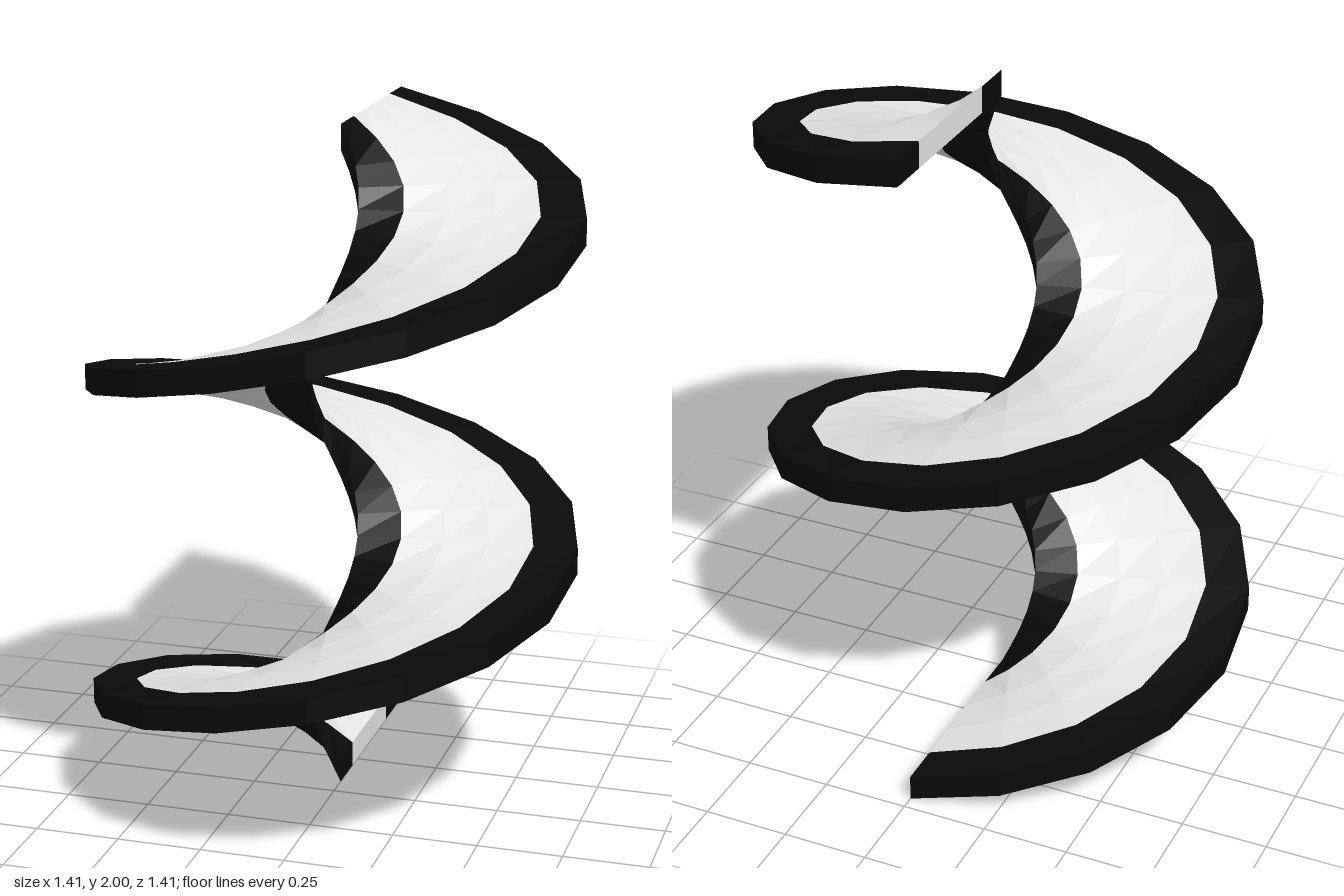
import * as THREE from 'three';

const TURNS = 2;
const SIDES = 17; // facets per turn
const THICKNESS = 0.076;
const RISE = 2 - THICKNESS;

// Point on the helix: starts at the back and climbs by way of -x, front, +x
function helixPoint(r, y, step) {
  const a = (step / SIDES) * Math.PI * 2;
  return [-r * Math.sin(a), y + (RISE * step) / (SIDES * TURNS), -r * Math.cos(a)];
}

// Sweep a flat band between two radii; walls are added only where exposed
function helicalBand(name, r0, r1, divisions, innerWall, outerWall, material) {
  const edges = [];
  for (let i = 0; i < divisions; i++) {
    const a = r0 + ((r1 - r0) * i) / divisions;
    const b = r0 + ((r1 - r0) * (i + 1)) / divisions;
    edges.push([[a, THICKNESS], [b, THICKNESS]], [[b, 0], [a, 0]]);
  }
  if (outerWall) edges.push([[r1, THICKNESS], [r1, 0]]);
  if (innerWall) edges.push([[r0, 0], [r0, THICKNESS]]);

  const positions = [];
  const quad = (a, b, c, d) => positions.push(...a, ...b, ...c, ...a, ...c, ...d);
  const steps = SIDES * TURNS;
  for (let s = 0; s < steps; s++) {
    for (const [p, q] of edges) {
      quad(helixPoint(...p, s), helixPoint(...q, s), helixPoint(...q, s + 1), helixPoint(...p, s + 1));
    }
  }

  // End caps
  const corners = [[r0, THICKNESS], [r1, THICKNESS], [r1, 0], [r0, 0]];
  quad(...corners.map((c) => helixPoint(...c, steps)));
  quad(...corners.map((c) => helixPoint(...c, 0)).reverse());

  const geometry = new THREE.BufferGeometry();
  geometry.setAttribute('position', new THREE.Float32BufferAttribute(positions, 3));
  geometry.computeVertexNormals();
  const mesh = new THREE.Mesh(geometry, material);
  mesh.name = name;
  return mesh;
}

export function createModel() {
  const black = new THREE.MeshStandardMaterial({ color: 0x0a0a0a, flatShading: true });
  black.name = 'black';
  const white = new THREE.MeshStandardMaterial({ color: 0xe6e6e6, flatShading: true });
  white.name = 'white';

  const group = new THREE.Group();
  group.name = 'helicalRibbon';
  group.add(
    helicalBand('innerBorder', 0.07, 0.198, 1, true, false, black),
    helicalBand('ribbonPanel', 0.198, 0.582, 3, false, false, white),
    helicalBand('outerBorder', 0.582, 0.71, 1, false, true, black)
  );
  return group;
}
